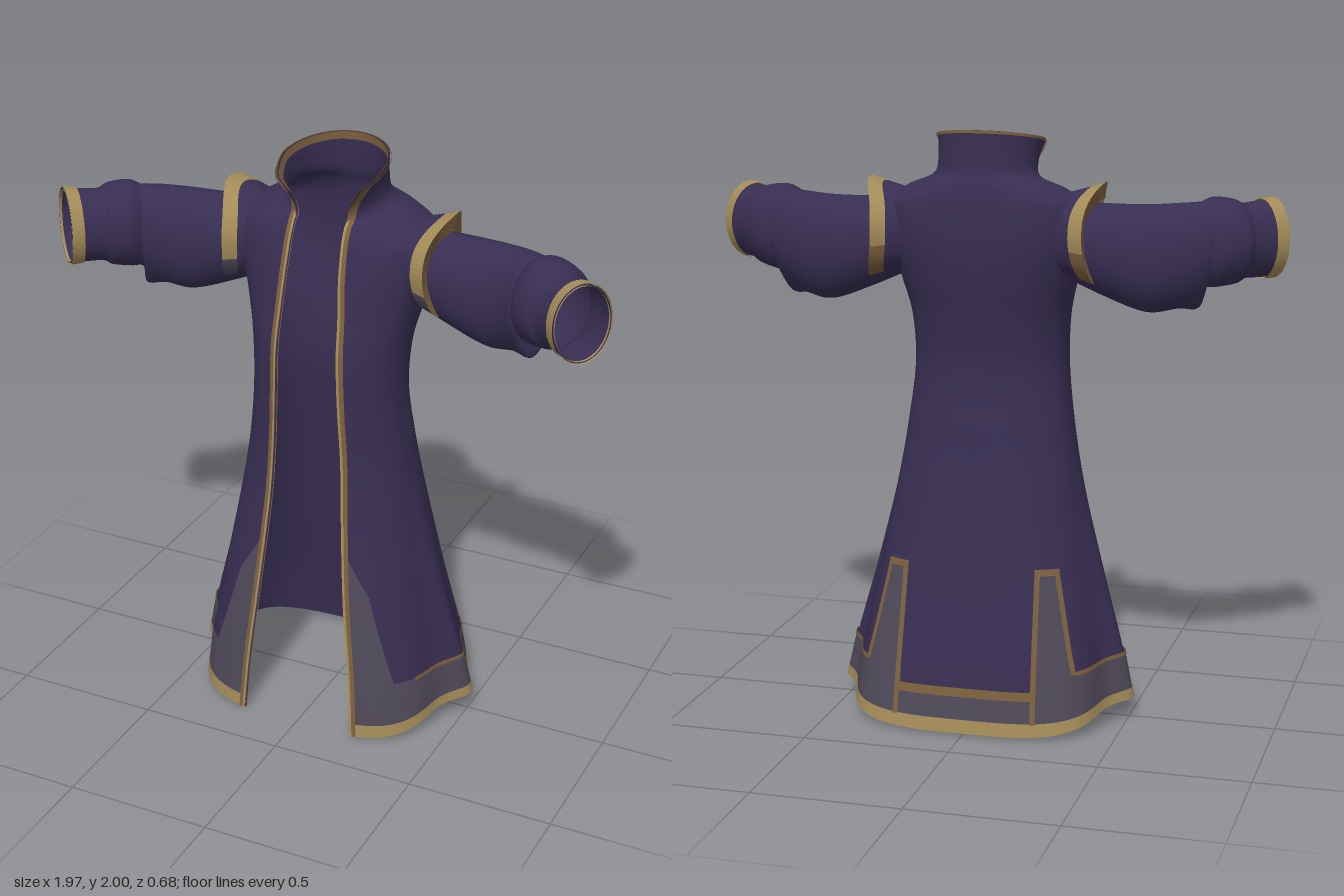
import * as THREE from 'three';
import { mergeVertices } from 'three/addons/utils/BufferGeometryUtils.js';

const material = (name, color) =>
  new THREE.MeshStandardMaterial({ name, color, side: THREE.DoubleSide });

// Smooth interpolation between the rows of a table at fractional index v
function sample(rows, v) {
  const last = rows.length - 1;
  const i = Math.min(Math.floor(v), last - 1);
  const t = v - i;
  const a = rows[Math.max(i - 1, 0)], b = rows[i], c = rows[i + 1], d = rows[Math.min(i + 2, last)];
  return b.map((_, k) => {
    const m0 = (c[k] - a[k]) / 2, m1 = (d[k] - b[k]) / 2;
    return (2 * t ** 3 - 3 * t * t + 1) * b[k] + (t ** 3 - 2 * t * t + t) * m0
      + (3 * t * t - 2 * t ** 3) * c[k] + (t ** 3 - t * t) * m1;
  });
}

// Smooth surface from fn(s, t) -> [x, y, z], s and t running 0..1
function surface(name, mat, ns, nt, fn) {
  const pos = [], index = [];
  for (let j = 0; j <= nt; j++) {
    for (let i = 0; i <= ns; i++) {
      pos.push(...fn(i / ns, j / nt));
      if (i < ns && j < nt) {
        const a = j * (ns + 1) + i, b = a + ns + 1;
        index.push(a, a + 1, b, a + 1, b + 1, b);
      }
    }
  }
  let g = new THREE.BufferGeometry();
  g.setAttribute('position', new THREE.Float32BufferAttribute(pos, 3));
  g.setIndex(index);
  g = mergeVertices(g, 1e-5);
  g.computeVertexNormals();
  const mesh = new THREE.Mesh(g, mat);
  mesh.name = name;
  return mesh;
}

// Coat rings: y front, y side, y back, half width, z front, z back, half opening, squareness, side pleat
const COAT = [
  [0.0, 0.072, 0.01, 0.43, 0.338, -0.335, 0.2, 3.6, 0.078],
  [0.22, 0.235, 0.22, 0.412, 0.32, -0.298, 0.185, 3.4, 0.06],
  [0.5, 0.5, 0.5, 0.365, 0.297, -0.245, 0.155, 3, 0.034],
  [0.8, 0.8, 0.8, 0.312, 0.262, -0.195, 0.13, 2.6, 0.01],
  [1.0, 1.0, 1.0, 0.284, 0.25, -0.165, 0.12, 2.3, 0],
  [1.2, 1.2, 1.2, 0.262, 0.253, -0.14, 0.11, 2.3, 0],
  [1.37, 1.37, 1.37, 0.268, 0.25, -0.16, 0.105, 2.3, 0],
  [1.5, 1.5, 1.5, 0.298, 0.222, -0.185, 0.1, 2.3, 0],
  [1.63, 1.63, 1.63, 0.33, 0.195, -0.2, 0.092, 2.4, 0],
  [1.73, 1.745, 1.75, 0.34, 0.165, -0.192, 0.088, 2.4, 0],
  [1.78, 1.805, 1.815, 0.268, 0.145, -0.18, 0.086, 2.2, 0],
  [1.8, 1.845, 1.86, 0.178, 0.14, -0.165, 0.086, 2, 0],
  [1.845, 1.905, 1.93, 0.166, 0.16, -0.155, 0.1, 2, 0],
  [1.89, 1.965, 2.0, 0.177, 0.225, -0.15, 0.143, 2, 0],
];
const TOP = COAT.length - 1;

// Angle from mid back round to the ring point at distance x on the front half
const ringAngle = (x, w, n) => Math.PI - Math.atan2(x / w, (1 - Math.min(1, x / w) ** n) ** (1 / n));

// Point on the coat: u = 0 mid back, u = +-1 front edges, v = ring index
function coat(u, v, off = 0) {
  const [yf, ys, yb, w, zf, zb, g, n, pleat] = sample(COAT, v);
  const a = Math.abs(u) * ringAngle(g, w, n);
  const r = (Math.abs(Math.sin(a)) ** n + Math.abs(Math.cos(a)) ** n) ** (-1 / n);
  const sx = r * Math.sin(a), sz = -r * Math.cos(a);
  const zc = (zf + zb) / 2, d = (zf - zb) / 2;
  const nx = sx / w, nz = sz / d, l = Math.hypot(nx, nz);
  const x = sx * w + pleat * Math.exp(-((sz / 0.24) ** 2)) + off * nx / l;
  // straight slope at the collar, rounded arch at the hem
  const y = ys + ((sz > 0 ? yf : yb) - ys) * Math.abs(sz) ** (1 + Math.max(0, 1 - v / 2));
  return [u < 0 ? -x : x, y, zc + sz * d + off * nz / l];
}

// u of the coat point at distance x from the middle, on the front or back half
function uAt(v, x, front) {
  const [, , , w, , , g, n] = sample(COAT, v);
  const a = ringAngle(x, w, n);
  return (front ? a : Math.PI - a) / ringAngle(g, w, n);
}
const opening = v => sample(COAT, v)[6];

// Sleeve rings: centre x, y, z, half depth, half height, turn, droop of the underside
const SLEEVE = [
  [0.26, 1.645, -0.02, 0.105, 0.125, 0, 0],
  [0.4, 1.61, -0.02, 0.118, 0.152, 0.02, 0],
  [0.54, 1.585, -0.012, 0.112, 0.177, 0.15, 0],
  [0.64, 1.6, 0.015, 0.108, 0.166, 0.35, 0.015],
  [0.7, 1.618, 0.045, 0.107, 0.15, 0.5, 0.05],
  [0.71, 1.625, 0.05, 0.102, 0.143, 0.52, 0],
  [0.745, 1.635, 0.07, 0.124, 0.148, 0.58, 0],
  [0.8, 1.635, 0.105, 0.122, 0.14, 0.65, 0],
  [0.825, 1.635, 0.125, 0.101, 0.125, 0.7, 0],
  [0.87, 1.637, 0.16, 0.096, 0.126, 0.75, 0],
  [0.915, 1.64, 0.2, 0.097, 0.13, 0.78, 0],
];
function sleeve(side, s, v, off = 0) {
  const [cx, cy, cz, hw, hh, turn, droop] = sample(SLEEVE, v);
  const f = s * Math.PI * 2 - Math.PI / 2;
  const p = (hw + off) * Math.cos(f), q = Math.sin(f);
  return [side * (cx - p * Math.sin(turn)),
    cy + (hh + off) * q - droop * Math.max(0, -q) ** 6, cz + p * Math.cos(turn)];
}

// Armhole rings: x, half height, half depth; squarer below so the edge stands clear of the sleeve
const ARMHOLE = [[0.22, 0.115, 0.11], [0.308, 0.152, 0.145], [0.357, 0.168, 0.16], [0.352, 0.115, 0.1]];
function armhole(side, s, v) {
  const [x, h, d] = ARMHOLE[v];
  const f = s * Math.PI * 2 - Math.PI / 2, q = Math.sin(f), c = Math.cos(f);
  const flare = v === 0 ? 0 : 0.046 * Math.max(0, q) ** 3 + 0.03 * Math.max(0, -q) ** 2;
  const z = Math.sign(c) * Math.abs(c) ** (q < 0 ? 1 + 0.4 * Math.max(-1, 2 * q) : 1);
  return [side * (x + flare), 1.663 + h * q, -0.02 + d * z];
}

export function createModel() {
  const purple = material('purple cloth', 0x382e52);
  const gold = material('gold trim', 0xa48c58);
  const brown = material('bronze trim', 0x7c603e);
  const grey = material('grey panel', 0x4f4958);
  const model = new THREE.Group();
  model.name = 'openRobe';

  // A strip lying on the coat between u0(v) and u1(v)
  const strip = (name, mat, u0, u1, v0, v1, off, ns, nt) =>
    model.add(surface(name, mat, ns, nt, (s, t) => {
      const v = v0 + (v1 - v0) * t;
      return coat(u0(v) + (u1(v) - u0(v)) * s, v, off);
    }));
  const left = () => -1, right = () => 1;

  strip('coatBody', purple, left, right, 0, TOP, 0, 160, 130);

  // Hem band and collar rim, wider on the inside of the collar
  strip('hemTrim', gold, left, right, 0, 0.3, 0.007, 160, 4);
  strip('collarRim', brown, left, right, TOP - 0.2, TOP, 0.005, 96, 4);
  strip('collarInnerRim', brown, left, right, TOP - 0.45, TOP, -0.005, 96, 4);

  // Back tab limits, as distance from the middle
  const inner = v => 0.228 - 0.006 * v, outer = v => 0.415 - 0.058 * v;
  const tabU = (side, x) => v => side * uAt(v, x(v), false);

  // Lower grey border between the two back tabs
  strip('backHemPanel', grey, tabU(-1, inner), tabU(1, inner), 0.28, 0.7, 0.005, 60, 4);
  strip('backHemLine', brown, tabU(-1, inner), tabU(1, inner), 0.64, 0.76, 0.008, 60, 2);

  for (const side of [1, -1]) {
    const edge = () => side;
    const frontU = dx => v => side * uAt(v, opening(v) + dx(v), true);
    const backU = x => tabU(side, x);

    // Border along the front opening, outside and inside, with a gold lip
    for (const off of [0.008, -0.004])
      strip('openingTrim', brown, edge, frontU(() => 0.022), 0, TOP, off, 3, 130);
    strip('openingLip', gold, edge, frontU(() => 0.008), 0, TOP - 2, 0.0095, 2, 110);

    // Grey border from the back tab to the front edge
    strip('sideHemPanel', grey, backU(inner), edge, 0.28, 0.96, 0.005, 100, 8);
    strip('sideHemLine', brown, backU(outer), () => side * 0.8, 0.925, 0.985, 0.008, 70, 2);

    // Tapering front panel
    const panelWidth = v => v < 2.1 ? 0.2 - 0.054 * v : Math.max(0.022, 0.0866 - 0.16 * (v - 2.1));
    strip('frontPanel', grey, edge, frontU(panelWidth), 0.9, 2.5, 0.006, 10, 40);

    // Tapering back tab with its outline
    strip('backTab', grey, backU(inner), backU(outer), 0.9, 2.2, 0.006, 10, 24);
    strip('backTabInnerEdge', brown, backU(inner), backU(v => inner(v) + 0.017), 0.28, 2.2, 0.009, 2, 30);
    strip('backTabOuterEdge', brown, backU(v => outer(v) - 0.014), backU(outer), 0.95, 2.2, 0.009, 2, 24);
    strip('backTabTop', brown, backU(inner), backU(outer), 2.13, 2.2, 0.009, 4, 2);

    // Sleeve with turned-back cuff and gold end band
    const arm = new THREE.Group();
    arm.name = side > 0 ? 'leftSleeve' : 'rightSleeve';
    const end = SLEEVE.length - 1;
    arm.add(surface('sleeve', purple, 40, 60, (s, t) => sleeve(side, s, t * end)));
    for (const [off, depth] of [[0.005, 0.75], [-0.004, 0.2]])
      arm.add(surface('cuffTrim', gold, 40, 4, (s, t) => sleeve(side, s, end - depth * (1 - t), off)));

    // Raised shoulder edge round the armhole: gold, bronze low at the back, grey low in front
    const rim = (name, mat, v, s0, s1) => arm.add(surface(name, mat, 40, 1,
      (s, t) => armhole(side, s0 + (s1 - s0) * s, v + t)));
    rim('shoulderFlare', purple, 0, 0, 1);
    rim('armholeTrim', gold, 1, 0.18, 0.8);
    rim('armholeBackTrim', brown, 1, 0.8, 1);
    rim('armholePanel', grey, 1, 0, 0.18);
    rim('armholeLining', brown, 2, 0, 1);
    model.add(arm);
  }
  return model;
}
